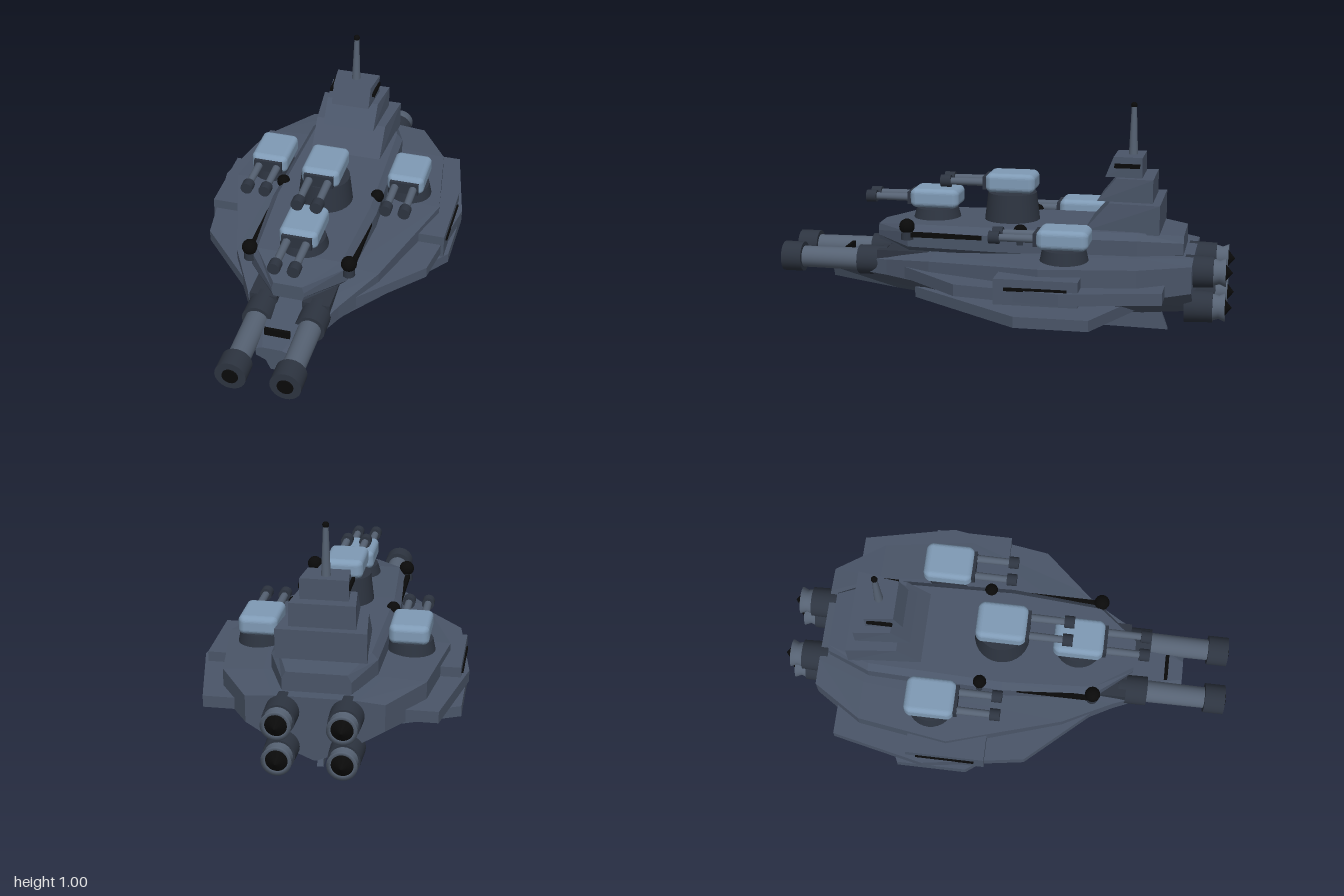
import * as THREE from 'three';
import { RoundedBoxGeometry } from 'three/addons/geometries/RoundedBoxGeometry.js';

const mat = (color, flatShading = false) => new THREE.MeshStandardMaterial({ color, flatShading });
const HULL = mat(0x4a5568, true), DARK = mat(0x2d3440), BLACK = mat(0x0a0a0a);
const STEEL = mat(0x566273), TURRET = mat(0x7f9ab5);

export function createModel() {
  const ship = new THREE.Group();
  ship.name = 'warship';

  const add = (name, geo, material, x = 0, y = 0, z = 0, parent = ship) => {
    const m = new THREE.Mesh(geo, material);
    m.name = name;
    m.position.set(x, y, z);
    parent.add(m);
    return m;
  };
  const box = (w, h, d) => new THREE.BoxGeometry(w, h, d);
  // cylinder lying along z, r1 at the front end
  const rod = (r1, r2, len, seg = 24) => new THREE.CylinderGeometry(r1, r2, len, seg).rotateX(Math.PI / 2);

  // flat plate from a plan outline of [x, z] points
  const plate = (pts, y0, y1) => new THREE.ExtrudeGeometry(
    new THREE.Shape(pts.map(([x, z]) => new THREE.Vector2(x, -z))),
    { depth: y1 - y0, bevelEnabled: false }).rotateX(-Math.PI / 2).translate(0, y0, 0);

  // mirrored cross-sections, front to back: { z, half: [[x, y], ...] from top to bottom }
  const loft = (sections) => {
    const rings = sections.map(({ z, half }) => [
      ...half.map(([x, y]) => [x, y, z]),
      ...half.slice().reverse().map(([x, y]) => [-x, y, z])]);
    const pos = [], n = rings[0].length;
    const tri = (...p) => p.forEach((v) => pos.push(...v));
    const cap = (ring, front) => {
      const c = [0, ring.reduce((s, p) => s + p[1], 0) / n, ring[0][2]];
      ring.forEach((p, j) => {
        const q = ring[(j + 1) % n];
        if (front) tri(c, q, p); else tri(c, p, q);
      });
    };
    for (let i = 0; i < rings.length - 1; i++) {
      for (let j = 0; j < n; j++) {
        const k = (j + 1) % n;
        const [a, b, c, d] = [rings[i][j], rings[i][k], rings[i + 1][k], rings[i + 1][j]];
        tri(a, b, c);
        tri(a, c, d);
      }
    }
    cap(rings[0], true);
    cap(rings[rings.length - 1], false);
    const g = new THREE.BufferGeometry();
    g.setAttribute('position', new THREE.Float32BufferAttribute(pos, 3));
    g.computeVertexNormals();
    return g;
  };

  // Main hull: z, half width, top, lower edge of the side wall, keel
  add('hull', loft([
    [0.8, 0.07, 0.28, 0.235, 0.17],
    [0.5, 0.2, 0.315, 0.235, 0.125],
    [0.28, 0.32, 0.345, 0.235, 0.1],
    [-0.22, 0.48, 0.375, 0.24, 0.078],
    [-0.62, 0.42, 0.375, 0.235, 0.072],
    [-0.835, 0.28, 0.365, 0.24, 0.09],
  ].map(([z, w, t, s, k]) => ({
    z, half: [[w * 0.6, t], [w, t - 0.01], [w, s], [w * 0.4, k + 0.045], [0.008, k]],
  }))), HULL);

  // Side armour belt
  const belt = [[0.13, 0.54], [0.5, 0.13], [0.57, -0.32], [0.48, -0.73], [0.3, -0.73]];
  add('armourBelt', plate([...belt, ...belt.map(([x, z]) => [-x, z]).reverse()], 0.24, 0.29), HULL);

  // Upper deck with chamfered edges: z, half width, top, bottom
  add('upperDeck', loft([
    [0.57, 0.07, 0.435, 0.365],
    [0.4, 0.21, 0.465, 0.35],
    [0, 0.24, 0.47, 0.35],
    [-0.6, 0.22, 0.47, 0.35],
    [-0.79, 0.14, 0.45, 0.35],
  ].map(([z, w, t, b]) => ({
    z, half: [[w * 0.88, t], [w, t - 0.03], [w, b + 0.02], [w * 0.9, b]],
  }))), HULL);

  // Keel fin
  add('keelFin', new THREE.ExtrudeGeometry(
    new THREE.Shape([[0.37, 0.12], [0.13, 0.015], [-0.72, 0], [-0.68, 0.11]]
      .map(([z, y]) => new THREE.Vector2(-z, y))),
    { depth: 0.026, bevelEnabled: false }).rotateY(Math.PI / 2).translate(-0.013, 0, 0), HULL);

  // Stepped bridge tower: sloped front, narrower at the front
  const tier = (name, w, y0, y1, back, frontLow, frontHigh) => {
    const g = box(1, 1, 1), p = g.attributes.position;
    for (let i = 0; i < p.count; i++) {
      const up = p.getY(i) > 0, front = p.getZ(i) > 0;
      p.setXYZ(i, Math.sign(p.getX(i)) * w * (front ? 0.87 : 1), up ? y1 : y0,
        front ? (up ? frontHigh : frontLow) : back);
    }
    g.computeVertexNormals();
    add(name, g, HULL);
  };
  tier('towerBase', 0.187, 0.46, 0.587, -0.69, -0.36, -0.47);
  tier('towerMiddle', 0.137, 0.587, 0.687, -0.655, -0.415, -0.495);
  tier('towerTop', 0.1, 0.687, 0.775, -0.605, -0.445, -0.48);
  add('mast', new THREE.CylinderGeometry(0.011, 0.02, 0.22, 12), STEEL, 0, 0.88, -0.555);
  add('mastLight', new THREE.SphereGeometry(0.014, 12, 8), BLACK, 0, 0.987, -0.555);

  // Gun turret, y at the bottom of the rounded housing
  const turret = (x, y, z, baseR, baseH) => {
    const t = new THREE.Group();
    t.name = 'gunTurret';
    t.position.set(x, y, z);
    ship.add(t);
    add('turretBase', new THREE.CylinderGeometry(baseR * 0.88, baseR, baseH, 28), DARK, 0, -baseH / 2, 0, t);
    const g = new RoundedBoxGeometry(0.19, 0.095, 0.22, 4, 0.026), p = g.attributes.position;
    for (let i = 0; i < p.count; i++) {
      const s = 1 - 0.2 * (p.getZ(i) / 0.11) ** 2;
      p.setX(i, p.getX(i) * s);
      p.setY(i, p.getY(i) * s);
    }
    g.computeVertexNormals();
    add('turretHousing', g, TURRET, 0, 0.048, 0, t);
    add('mantlet', box(0.13, 0.055, 0.03), DARK, 0, 0.045, 0.108, t);
    for (const s of [-1, 1]) {
      add('turretBarrel', rod(0.016, 0.018, 0.18, 14), STEEL, s * 0.042, 0.045, 0.19, t);
      add('turretMuzzle', rod(0.027, 0.027, 0.045, 16), DARK, s * 0.042, 0.045, 0.29, t);
    }
  };
  turret(0, 0.59, -0.025, 0.122, 0.125);
  turret(0, 0.51, 0.315, 0.105, 0.045);
  turret(0.32, 0.42, -0.305, 0.105, 0.06);
  turret(-0.32, 0.42, -0.305, 0.105, 0.06);

  add('noseVent', box(0.11, 0.04, 0.014), BLACK, 0, 0.3, 0.725);

  const v = (r, z) => new THREE.Vector2(r, z);
  for (const s of [-1, 1]) {
    // Lower wings
    add('lowerWing', plate([[0.17, 0.38], [0.55, -0.13], [0.55, -0.44], [0.17, -0.61]]
      .map(([x, z]) => [s * x, z]), 0.133, 0.18), HULL);

    // Side armour pods
    add('sidePod', box(0.12, 0.108, 0.35), HULL, s * 0.48, 0.28, -0.22);
    add('sidePodSlit', box(0.012, 0.014, 0.26), BLACK, s * 0.541, 0.293, -0.22);

    // Deck slits, tower windows and sensor domes
    add('deckSlit', box(0.02, 0.02, 0.36), BLACK, s * 0.225, 0.428, 0.2);
    add('towerWindow', box(0.012, 0.018, 0.11), BLACK, s * 0.1, 0.738, -0.54);
    for (const [z, r] of [[0.4, 0.034], [-0.1, 0.03]]) {
      add('sensorPost', new THREE.CylinderGeometry(r * 0.7, r * 0.8, 0.06, 14), DARK, s * 0.218, 0.435, z);
      add('sensorDome', new THREE.SphereGeometry(r, 16, 10), BLACK, s * 0.218, 0.462, z);
    }

    // Heavy bow guns
    const gx = s * 0.115;
    add('gunMount', box(0.12, 0.11, 0.26), DARK, gx, 0.285, 0.42);
    add('gunCollar', rod(0.065, 0.065, 0.13, 20), DARK, gx, 0.28, 0.58);
    add('gunBarrel', rod(0.047, 0.05, 0.32), STEEL, gx, 0.28, 0.77);
    add('gunMuzzle', rod(0.066, 0.066, 0.09), DARK, gx, 0.28, 0.95);
    add('gunBore', rod(0.034, 0.034, 0.01), BLACK, gx, 0.28, 0.995);

    // Engines
    for (const y of [0.3, 0.147]) {
      add('engineHousing', rod(0.07, 0.066, 0.12), DARK, s * 0.13, y, -0.86);
      const bell = new THREE.LatheGeometry(
        [v(0.064, 0.9), v(0.05, 0.945), v(0.062, 0.972), v(0.045, 0.965)], 24).rotateX(-Math.PI / 2);
      const nozzle = add('engineNozzle', bell, STEEL.clone(), s * 0.13, y, 0);
      nozzle.material.side = THREE.DoubleSide;
      add('engineCone', new THREE.ConeGeometry(0.048, 0.04, 24).rotateX(-Math.PI / 2), BLACK, s * 0.13, y, -0.98);
    }
  }
  return ship;
}
